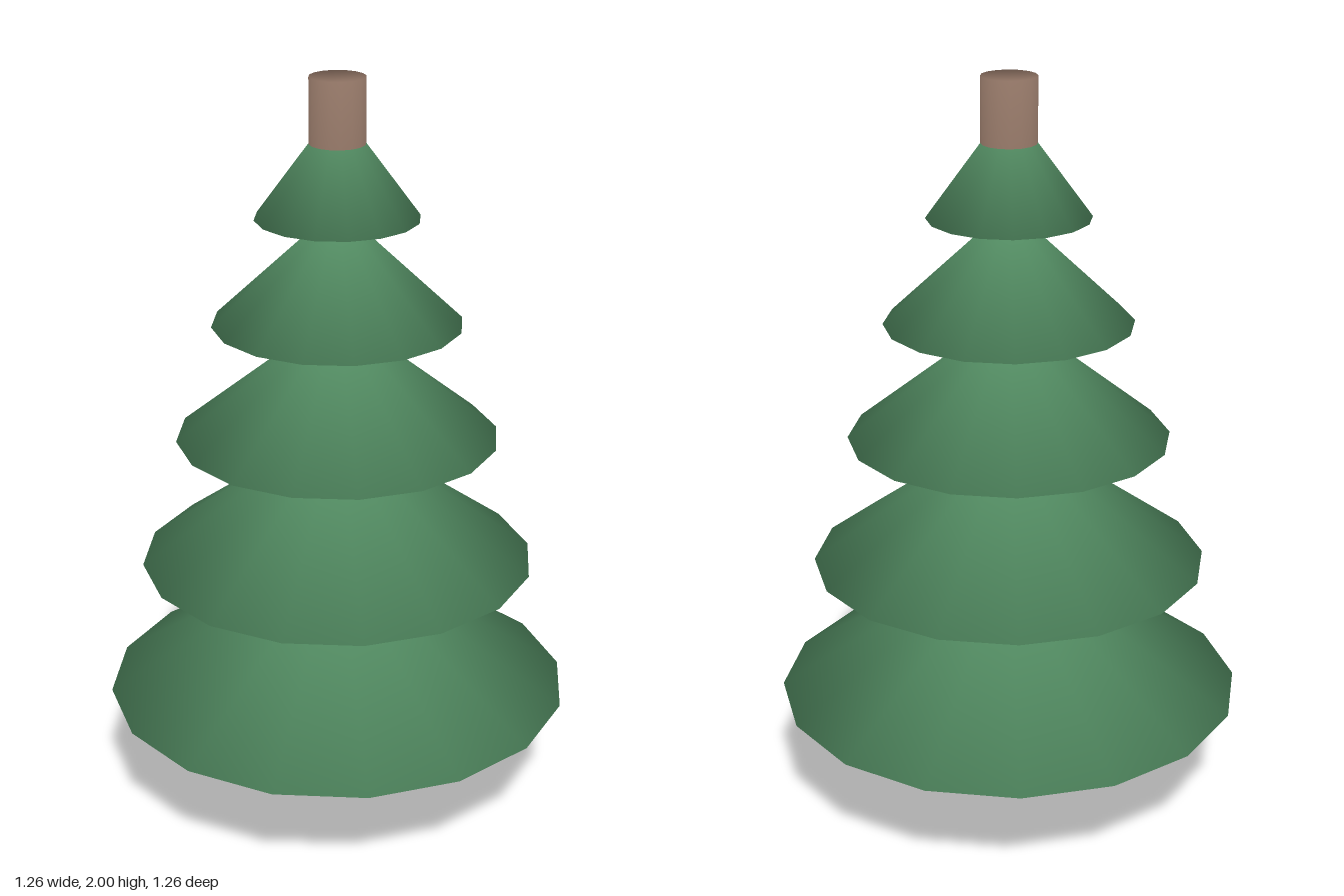
import * as THREE from 'three';

const SIDES = 16;

const needles = new THREE.MeshStandardMaterial({ color: 0x5a986b });
needles.name = 'needle green';
const bark = new THREE.MeshStandardMaterial({ color: 0x8a6f60 });
bark.name = 'bark brown';

// Soft-edged solid of revolution. Each ring is [radius, y, normal out, normal up];
// the ends are closed by fans that share the rim vertices and their blended normals.
function softSolid(rings) {
  const pos = [], nor = [], index = [];
  for (const [r, y, out, up] of rings) {
    const n = new THREE.Vector3();
    for (let i = 0; i < SIDES; i++) {
      const a = (i / SIDES) * Math.PI * 2, s = Math.sin(a), c = Math.cos(a);
      pos.push(r * s, y, r * c);
      n.set(out * s, up, out * c).normalize();
      nor.push(n.x, n.y, n.z);
    }
  }
  const top = (rings.length - 1) * SIDES;
  for (let k = 0; k < top; k += SIDES) {
    for (let i = 0; i < SIDES; i++) {
      const a = k + i, b = k + (i + 1) % SIDES;
      index.push(a, b, b + SIDES);
      if (rings[k / SIDES + 1][0] > 0) index.push(a, b + SIDES, a + SIDES);
      else index[index.length - 1] = a + SIDES;
    }
  }
  for (let i = 1; i < SIDES - 1; i++) {
    index.push(0, i + 1, i);
    if (rings[rings.length - 1][0] > 0) index.push(top, top + i, top + i + 1);
  }
  const g = new THREE.BufferGeometry();
  g.setAttribute('position', new THREE.Float32BufferAttribute(pos, 3));
  g.setAttribute('normal', new THREE.Float32BufferAttribute(nor, 3));
  g.setIndex(index);
  return g;
}

// Closed cone whose rim normals blend the slope with the flat underside
function coneTier(radius, base, height) {
  const slant = Math.hypot(radius, height);
  const out = height / slant, up = radius / slant - 0.95;
  return softSolid([[radius, base, out, up], [0, base + height, 0, 1]]);
}

export function createModel() {
  const tree = new THREE.Group();
  tree.name = 'tree';

  // Trunk running the full height
  const trunk = new THREE.Mesh(softSolid([[0.073, 0, 1, -0.93], [0.073, 2, 1, 0.93]]), bark);
  trunk.name = 'trunk';
  tree.add(trunk);

  // Branch tiers: radius, base height, cone height (tips hidden in the trunk)
  const tiers = [
    [0.63, 0.305, 0.405],
    [0.53, 0.685, 0.385],
    [0.43, 1.04, 0.345],
    [0.33, 1.355, 0.312],
    [0.215, 1.637, 0.292],
  ];
  tiers.forEach(([radius, base, height], i) => {
    const tier = new THREE.Mesh(coneTier(radius, base, height), needles);
    tier.name = `branchTier${i + 1}`;
    tree.add(tier);
  });

  return tree;
}
